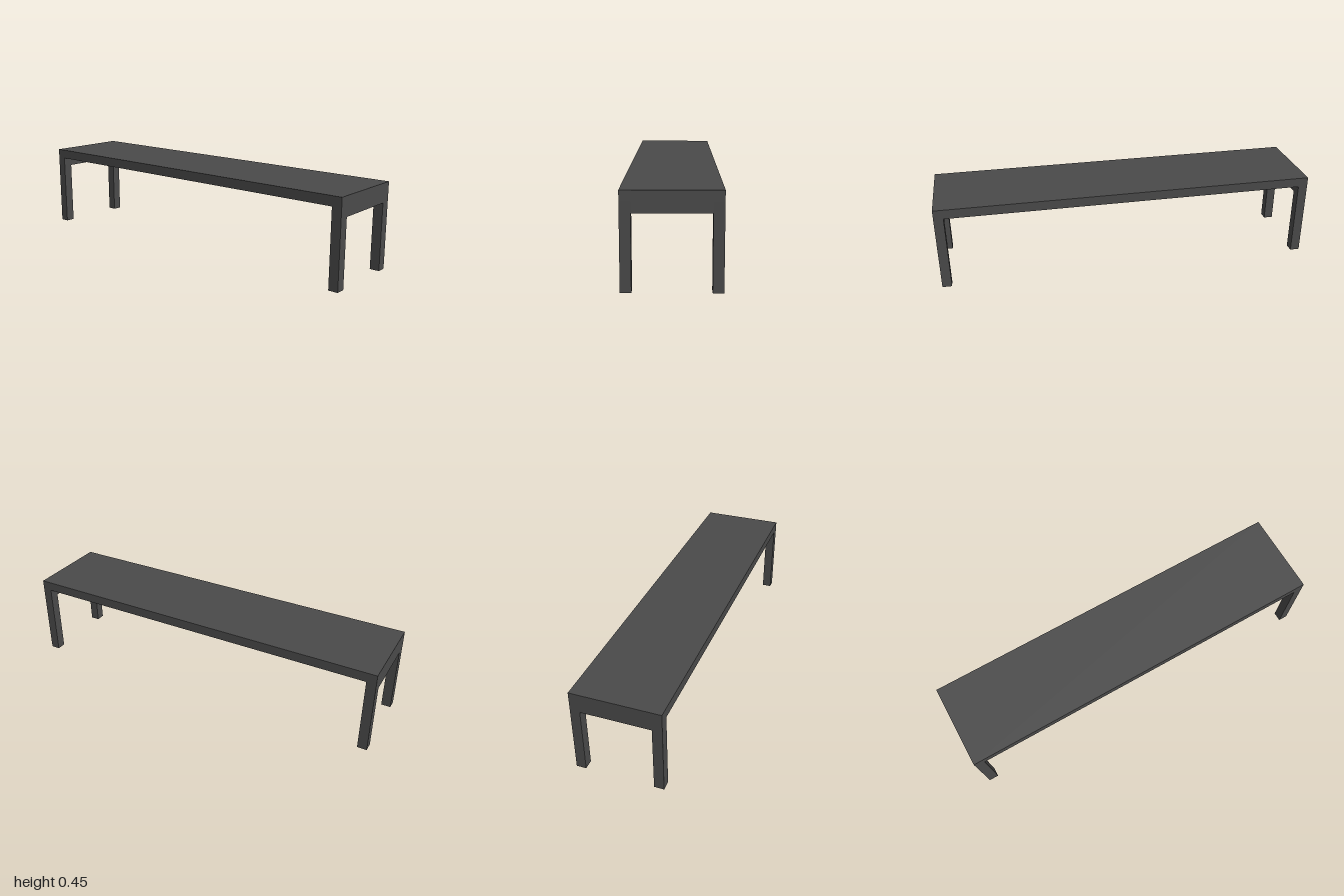
import * as THREE from 'three';

const LENGTH = 2, DEPTH = 0.45, HEIGHT = 0.45, BAR = 0.05;

export function createModel() {
  const bench = new THREE.Group();
  bench.name = 'bench';
  const charcoal = new THREE.MeshStandardMaterial({ color: 0x4a4a4a });
  charcoal.name = 'charcoal';

  const addBox = (name, w, h, d, x, y, z) => {
    const mesh = new THREE.Mesh(new THREE.BoxGeometry(w, h, d), charcoal);
    mesh.name = name;
    mesh.position.set(x, y, z);
    bench.add(mesh);
  };

  // Seat slab
  addBox('seat', LENGTH, BAR, DEPTH, 0, HEIGHT - BAR / 2, 0);

  // Square legs at the corners, joined by a rail under each end
  const legHeight = HEIGHT - BAR;
  for (const [side, sx] of [['left', 1], ['right', -1]]) {
    const x = sx * (LENGTH - BAR) / 2;
    for (const [end, sz] of [['Front', 1], ['Back', -1]]) {
      addBox(`${side}${end}Leg`, BAR, legHeight, BAR, x, legHeight / 2, sz * (DEPTH - BAR) / 2);
    }
    addBox(`${side}Rail`, BAR, BAR, DEPTH - 2 * BAR, x, legHeight - BAR / 2, 0);
  }
  return bench;
}
